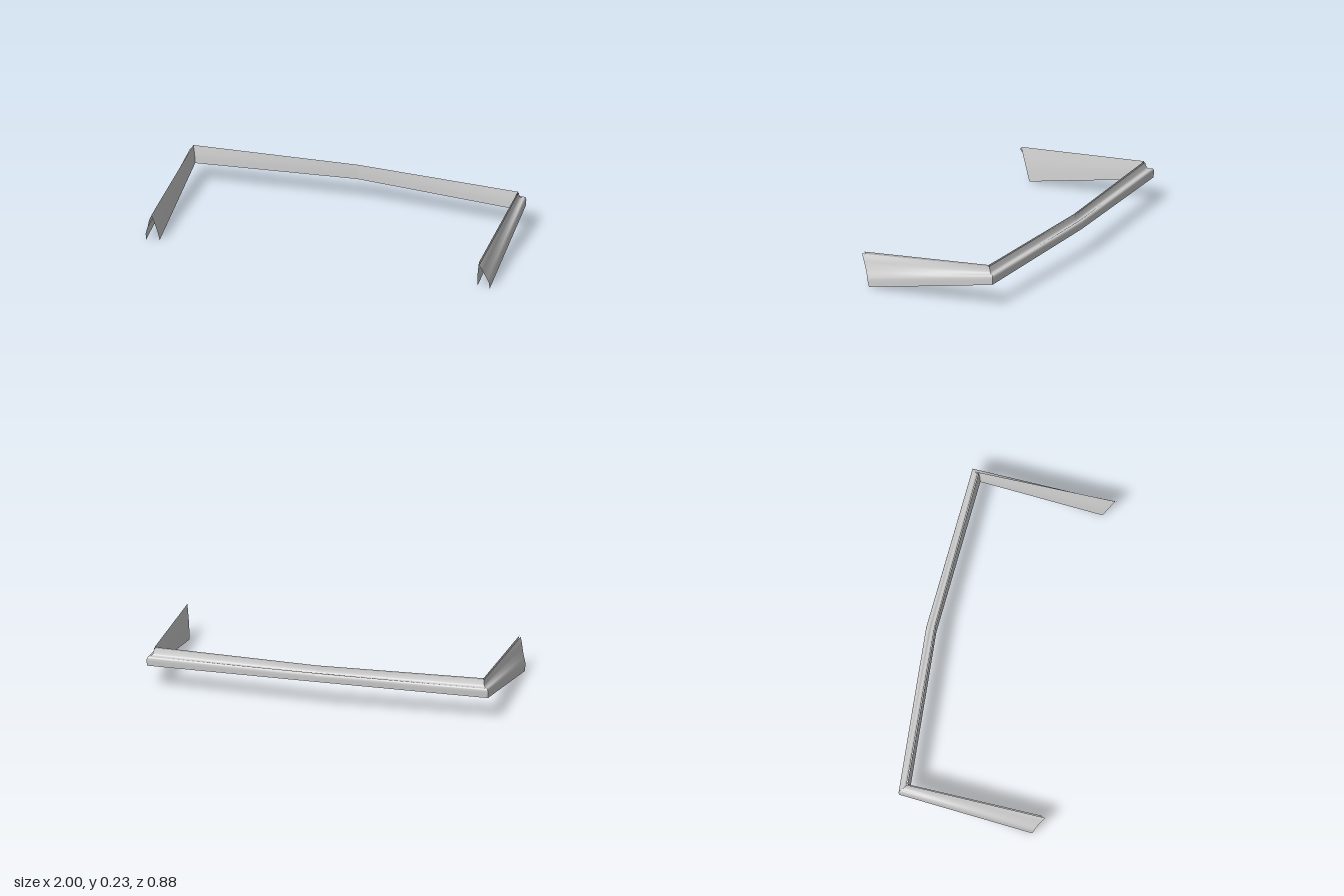
import * as THREE from 'three';

// Outer skin cross-sections, listed from the top edge down to the bottom edge [x, y, z]
const OUTER = {
  tip: [[0.958, 0.175, 0.44], [0.968, 0.15, 0.427], [0.976, 0.12, 0.414], [0.985, 0.09, 0.401],
    [0.993, 0.066, 0.392], [0.999, 0.045, 0.386], [1, 0, 0.375]],
  corner: [[0.948, 0.228, -0.352], [0.95, 0.208, -0.358], [0.955, 0.194, -0.364], [0.964, 0.189, -0.374],
    [0.975, 0.188, -0.385], [0.98, 0.178, -0.39], [0.98, 0.135, -0.388]],
  middle: [[0, 0.23, -0.395], [0, 0.21, -0.399], [0, 0.196, -0.406], [0, 0.196, -0.416],
    [0, 0.203, -0.428], [0, 0.198, -0.442], [0, 0.157, -0.444]],
};

// Inner wall cross-sections, listed from the bottom edge up to the top edge
const INNER = {
  tip: [[0.925, 0.002, 0.362], [0.934, 0.08, 0.388], [0.954, 0.187, 0.428]],
  corner: [[0.93, 0.13, -0.335], [0.935, 0.18, -0.339], [0.945, 0.235, -0.348]],
  middle: [[0, 0.148, -0.386], [0, 0.19, -0.388], [0, 0.235, -0.392]],
};

const material = new THREE.MeshStandardMaterial({ color: 0xcccccc, side: THREE.DoubleSide });

// Smooth a section; side = -1 mirrors it across x
function section(points, side) {
  const curve = new THREE.CatmullRomCurve3(
    points.map(([x, y, z]) => new THREE.Vector3(x * side, y, z)), false, 'centripetal');
  return curve.getPoints((points.length - 1) * 4);
}

// Straight skin stretched between two sections
function loft(name, from, to, steps = 6) {
  const n = from.length;
  const positions = [];
  const index = [];
  for (let j = 0; j <= steps; j++) {
    for (let i = 0; i < n; i++) {
      positions.push(...from[i].clone().lerp(to[i], j / steps).toArray());
      if (i < n - 1 && j < steps) {
        const a = j * n + i;
        index.push(a, a + 1, a + n, a + 1, a + n + 1, a + n);
      }
    }
  }
  const geometry = new THREE.BufferGeometry();
  geometry.setAttribute('position', new THREE.Float32BufferAttribute(positions, 3));
  geometry.setIndex(index);
  geometry.computeVertexNormals();
  const mesh = new THREE.Mesh(geometry, material);
  mesh.name = name;
  return mesh;
}

export function createModel() {
  const group = new THREE.Group();
  group.name = 'lipSpoiler';

  // Each skin runs from the left tip around the back to the right tip
  for (const [skin, s] of [['OuterSkin', OUTER], ['InnerWall', INNER]]) {
    const leftCorner = section(s.corner, 1);
    const rightCorner = section(s.corner, -1);
    const middle = section(s.middle, 1);
    group.add(
      loft('leftArm' + skin, section(s.tip, 1), leftCorner),
      loft('leftBar' + skin, leftCorner, middle),
      loft('rightBar' + skin, middle, rightCorner),
      loft('rightArm' + skin, rightCorner, section(s.tip, -1)),
    );
  }
  return group;
}
